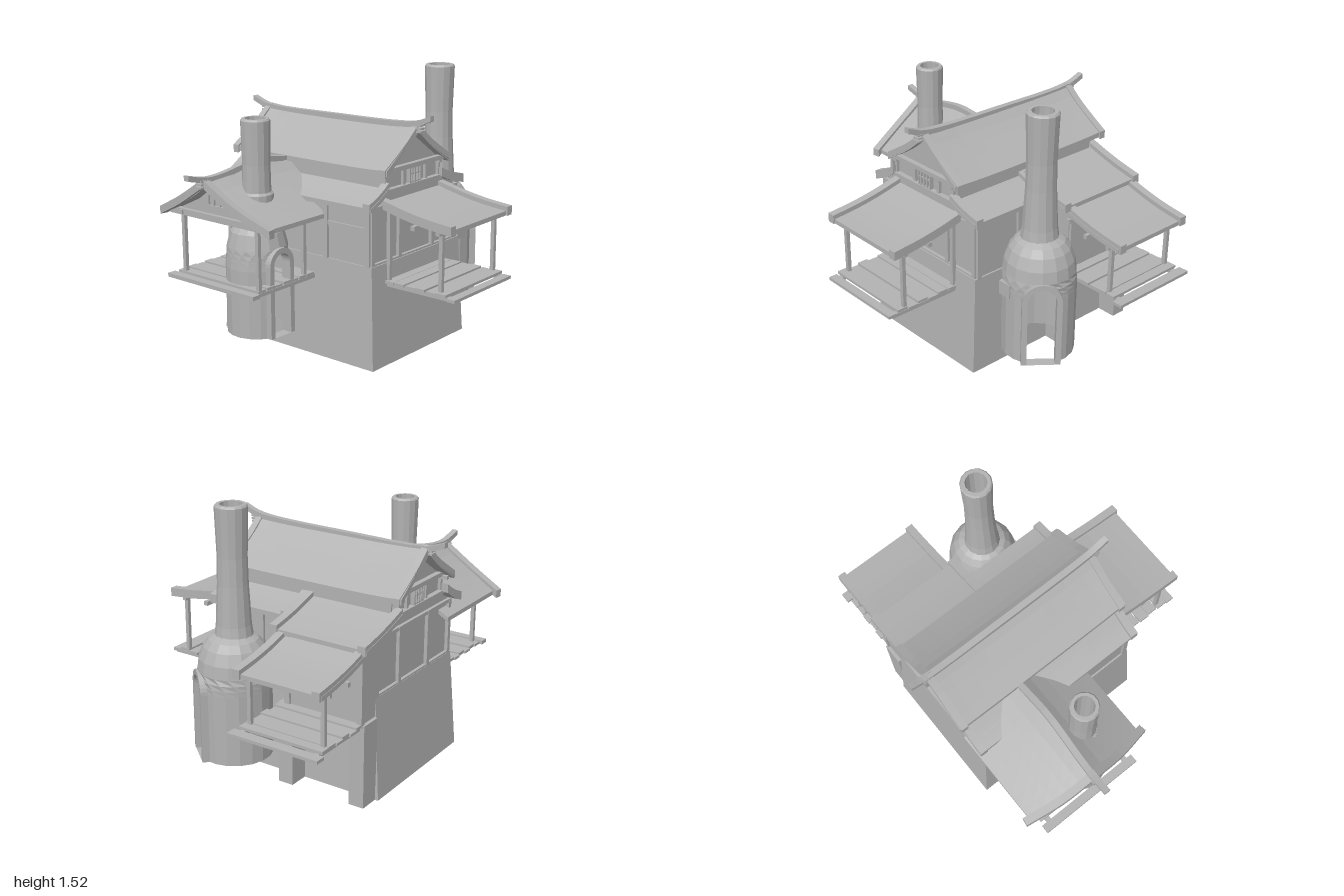
import * as THREE from 'three';

export function createModel() {
  const model = new THREE.Group();
  const grey = new THREE.MeshStandardMaterial({ color: 0xb2b2b2, flatShading: true, side: THREE.DoubleSide });
  grey.name = 'plain grey';

  const add = (name, geo) => {
    const m = new THREE.Mesh(geo, grey);
    m.name = name;
    model.add(m);
    return m;
  };
  // box given by its limits
  const box = (name, x0, x1, y0, y1, z0, z1) =>
    add(name, new THREE.BoxGeometry(x1 - x0, y1 - y0, z1 - z0).translate((x0 + x1) / 2, (y0 + y1) / 2, (z0 + z1) / 2));
  // move every vertex of a geometry by a rule
  const bend = (geo, rule) => {
    const p = geo.attributes.position;
    for (let i = 0; i < p.count; i++) p.setXYZ(i, ...rule(p.getX(i), p.getY(i), p.getZ(i)));
    geo.computeVertexNormals();
    return geo;
  };
  // curved slab: surface(u, v) gives the top, u and v run 0..1
  const slab = (name, surface, nu, nv, thick = 0.025) =>
    add(name, bend(new THREE.BoxGeometry(1, 1, 1, nu, 1, nv), (x, y, z) => {
      const s = surface(x + 0.5, z + 0.5);
      return [s[0], s[1] + (y - 0.5) * thick, s[2]];
    }));
  // timber following a path
  const beam = (name, pts, w, h, n = 8) => {
    const curve = new THREE.CatmullRomCurve3(pts.map((p) => new THREE.Vector3(...p)));
    const d = curve.getPoint(1).sub(curve.getPoint(0));
    const s = new THREE.Vector3(d.z, 0, -d.x).normalize();
    return add(name, bend(new THREE.BoxGeometry(w, h, 1, 1, 1, n), (x, y, z) => {
      const p = curve.getPoint(z + 0.5);
      return [p.x + s.x * x, p.y + y, p.z + s.z * x];
    }));
  };
  const shapeOf = (pts) => new THREE.Shape(pts.map((p) => new THREE.Vector2(...p)));
  const mix = THREE.MathUtils.lerp;

  // hollow stone plinth, tapering upward
  add('plinth', bend(new THREE.CylinderGeometry(Math.SQRT1_2, Math.SQRT1_2, 1, 4, 1, true).rotateY(Math.PI / 4), (x, y, z) => {
    const t = y + 0.5;
    return [x > 0 ? mix(0.395, 0.365, t) : mix(-0.72, -0.68, t), t * 0.57, z > 0 ? mix(0.395, 0.37, t) : mix(-0.45, -0.43, t)];
  }));
  box('plinthTop', -0.68, 0.365, 0.475, 0.57, -0.43, 0.37);

  // house body: lower storey with the raised gabled upper part
  add('houseWalls', new THREE.ExtrudeGeometry(shapeOf([[-0.42, 0.57], [0.36, 0.57], [0.36, 0.89], [0.25, 0.95], [0.25, 1.06],
    [0, 1.24], [-0.26, 1.06], [-0.26, 0.95], [-0.42, 0.89]]), { depth: 1.0, bevelEnabled: false })
    .rotateY(-Math.PI / 2).translate(0.34, 0, 0));

  // timber framing and lattice window on both gable ends
  for (const [x, s] of [[0.34, 1], [-0.66, -1]]) {
    const plate = (name, y0, y1, z0, z1, t = 0.018) => box(name, Math.min(x, x + s * t), Math.max(x, x + s * t), y0, y1, z0, z1);
    plate('gableBeam', 1.055, 1.08, -0.27, 0.26, 0.03);
    plate('gableBeam', 0.95, 0.97, -0.27, 0.26, 0.03);
    for (const z of [-0.25, -0.13, 0.07, 0.23]) plate('gableStud', 0.96, 1.06, z, z + 0.018);
    for (const z of [-0.06, -0.035, -0.01, 0.015, 0.035]) plate('windowBar', 0.97, 1.06, z - 0.004, z + 0.004, 0.025);
    for (const y of [0.97, 1.015, 1.05]) plate('windowBar', y, y + 0.008, -0.06, 0.035, 0.022);
    plate('wallBeam', 0.87, 0.89, -0.42, 0.36);
    plate('sillBeam', 0.56, 0.58, -0.42, 0.36);
    for (const z of [-0.42, -0.2, 0.1, 0.335]) plate('wallPost', 0.57, 0.89, z, z + 0.025, 0.02);
  }
  for (const x of [-0.67, -0.35, 0.03, 0.32]) {
    box('frontPost', x, x + 0.03, 0.57, 0.9, 0.35, 0.375);
    box('backPost', x, x + 0.03, 0.57, 0.9, -0.435, -0.41);
  }
  box('frontWallBeam', -0.67, 0.35, 0.76, 0.78, 0.35, 0.372);

  // upper main roof, gently hollow on each side
  const roofDrop = (t) => 1.275 - 0.205 * Math.pow(Math.abs(t), 0.85);
  slab('mainRoof', (u, v) => {
    const t = v * 2 - 1, e = Math.pow(Math.abs(u * 2 - 1), 4);
    return [mix(-0.73, 0.375, u) + 0.012 * Math.sign(u - 0.5) * Math.abs(t), roofDrop(t) + 0.01 * e, -0.015 + 0.285 * t];
  }, 10, 10, 0.03);
  for (const x of [-0.715, 0.36]) for (const s of [-1, 1]) {
    beam('gableBoard', [0, 0.35, 0.7, 1.03].map((t) => [x, roofDrop(t) - 0.005, -0.015 + s * 0.285 * t]), 0.04, 0.045, 6);
  }
  for (const z of [-0.25, 0.22]) box('eaveBeam', -0.72, 0.37, 1.04, 1.06, z, z + 0.025);
  for (const x of [-0.5, -0.2, 0.07, 0.25]) box('rafterEnd', x, x + 0.03, 1.045, 1.065, -0.28, 0.255);
  beam('mainRidge', [[-0.83, 1.31, -0.01], [-0.72, 1.275, -0.01], [-0.2, 1.27, -0.01], [0.27, 1.28, -0.01], [0.38, 1.295, -0.01], [0.47, 1.328, -0.01]], 0.035, 0.03, 20);
  for (const x of [-0.74, 0.39]) for (const y of [1.245, 1.262, 1.279]) box('ridgeCap', x - 0.02, x + 0.02, y, y + 0.01, -0.03, 0.01);

  // sloping roof running in z or x with bars on both edges
  const skirt = (name, x0, x1, z0, z1, y0, y1, sag = 0.008) => {
    const y = (v) => mix(y0, y1, v) - sag * Math.sin(Math.PI * v);
    slab(name, (u, v) => [mix(x0, x1, u), y(v), mix(z0, z1, v)], 4, 6);
    for (const x of [x0 + 0.025, x1 - 0.025]) {
      beam(name + 'EdgeBar', [0, 0.33, 0.66, 1.03].map((v) => [x, y(v), mix(z0, z1, v)]), 0.045, 0.05);
    }
  };
  skirt('frontSkirtRoof', -0.72, 0.38, 0.24, 0.4, 0.985, 0.9);
  skirt('backSkirtRoof', -0.15, 0.38, -0.24, -0.45, 0.985, 0.915);
  skirt('annexRoof', -0.72, -0.13, -0.24, -0.585, 0.985, 0.89);
  skirt('backPorchRoof', -0.7, -0.17, -0.55, -0.95, 0.865, 0.775, 0.012);

  // rear annex carried on two pillars
  box('annexWalls', -0.68, -0.2, 0.46, 0.89, -0.56, -0.41);
  for (const x of [-0.7, -0.25]) {
    box('annexPillar', x, x + 0.09, 0, 0.47, -0.565, -0.44);
    box('annexPost', x + 0.01, x + 0.045, 0.46, 0.88, -0.575, -0.55);
  }
  box('annexBeam', -0.69, -0.19, 0.77, 0.795, -0.575, -0.55);

  // decks made of loose boards
  const deck = (name, x0, x1, z0, z1, alongZ, n) => {
    for (let i = 0; i < n; i++) {
      const j = 0.004 * Math.sin(i * 2.7), a = (i + 0.04) / n, b = (i + 0.96) / n;
      if (alongZ) box(name, mix(x0, x1, a), mix(x0, x1, b), 0.46 + j, 0.475 + j, z0 + j, z1 + j);
      else box(name, x0 + j, x1 + j, 0.46 + j, 0.475 + j, mix(z0, z1, a), mix(z0, z1, b));
    }
  };
  const post = (x, z, top) => box('porchPost', x - 0.011, x + 0.011, 0.46, top, z - 0.011, z + 0.011);

  // back porch
  deck('backDeckBoard', -0.69, -0.18, -0.93, -0.56, false, 6);
  box('backDeckEdge', -0.71, -0.16, 0.445, 0.462, -1.0, -0.94);
  for (const x of [-0.66, -0.21]) {
    post(x, -0.87, 0.775);
    box('backDeckJoist', x - 0.015, x + 0.015, 0.44, 0.46, -0.97, -0.45);
  }
  for (const z of [-0.88, -0.72]) box('backPorchBeam', -0.7, -0.17, 0.74, 0.765, z, z + 0.02);

  // side porch
  const sideY = (u) => mix(0.9, 0.825, u) - 0.012 * Math.sin(Math.PI * u);
  slab('sidePorchRoof', (u, v) => [mix(0.34, 0.79, u), sideY(u), mix(-0.29, 0.265, v)], 6, 4);
  for (const z of [-0.282, 0.25]) {
    beam('sidePorchEdgeBar', [0, 0.33, 0.66, 1.02].map((u) => [mix(0.34, 0.79, u), sideY(u), z]), 0.045, 0.05);
  }
  deck('sideDeckBoard', 0.36, 0.77, -0.28, 0.26, true, 6);
  box('sideDeckEdge', 0.775, 0.825, 0.445, 0.462, -0.275, 0.265);
  for (const z of [-0.26, 0.23]) {
    post(0.715, z, 0.83);
    post(0.375, z, 0.88);
    box('sideDeckJoist', 0.34, 0.8, 0.44, 0.46, z - 0.015, z + 0.015);
  }
  for (const x of [0.54, 0.7]) box('sidePorchBeam', x, x + 0.025, 0.785, 0.81, -0.29, 0.265);

  // front porch
  deck('frontDeckBoard', -0.64, -0.03, 0.38, 0.82, false, 7);
  box('frontDeckEdge', -0.65, 0, 0.448, 0.47, 0.84, 0.89);
  for (const x of [-0.6, -0.045]) {
    post(x, 0.8, 0.82);
    post(x, 0.45, 0.82);
    box('frontDeckJoist', x - 0.015, x + 0.015, 0.44, 0.46, 0.34, 0.87);
    box('frontPorchSideBeam', x - 0.015, x + 0.015, 0.8, 0.825, 0.36, 0.83);
  }
  box('frontPorchBeam', -0.69, 0.01, 0.795, 0.83, 0.785, 0.82);

  // front gabled roof with hollow slopes and a bowed front edge
  slab('frontRoof', (u, v) => {
    const t = u * 2 - 1, a = Math.abs(t), top = 1.06 - 0.035 * v + 0.015 * Math.sin(Math.PI * v);
    return [-0.34 + 0.38 * t, 0.815 + (top - 0.815) * (1 - Math.pow(a, 0.85)), 0.25 + v * (0.56 + 0.07 * (1 - a * a))];
  }, 10, 8);
  for (const s of [-1, 1]) {
    beam('frontGableBoard', [[-0.34, 1.02, 0.88], [-0.34 + s * 0.2, 0.9, 0.86], [-0.34 + s * 0.41, 0.8, 0.815]], 0.045, 0.045);
  }
  beam('frontRidge', [[-0.34, 1.05, 0.25], [-0.335, 1.08, 0.5], [-0.345, 1.04, 0.75], [-0.35, 1.035, 0.87], [-0.352, 1.065, 1.0]], 0.035, 0.03, 14);
  for (const y of [0.995, 1.012, 1.029]) box('frontRidgeCap', -0.372, -0.328, y, y + 0.01, 0.86, 0.92);
  add('frontGableWall', new THREE.ExtrudeGeometry(shapeOf([[-0.67, 0.81], [-0.01, 0.81], [-0.2, 0.9], [-0.34, 1.0], [-0.48, 0.9]]),
    { depth: 0.02, bevelEnabled: false }).translate(0, 0, 0.775));
  for (const y of [0.87, 0.935]) box('gableWindowFrame', -0.41, -0.27, y, y + 0.01, 0.79, 0.808);
  for (const x of [-0.405, -0.365, -0.32, -0.28]) box('gableWindowBar', x, x + 0.008, 0.87, 0.94, 0.79, 0.806);

  // domed ovens: a lathe whose seam is opened into an arched doorway
  const oven = (name, x, z, dir, profile, y0, w, spring) => {
    const N = 16, pts = [];
    const path = profile.map((p) => new THREE.Vector2(...p));
    path.forEach((p, i) => {
      const q = path[i + 1], k = q ? Math.max(1, Math.round((q.y - p.y) / 0.03)) : 1;
      for (let j = 0; j < k; j++) pts.push(q ? p.clone().lerp(q, j / k) : p);
    });
    const half = (y) => (y < spring ? w : Math.sqrt(Math.max(0, w * w - (y - spring) ** 2)));
    const shell = add(name, bend(new THREE.LatheGeometry(pts, N), (px, py, pz) => {
      const r = Math.hypot(px, pz), f = (Math.atan2(px, pz) + Math.PI * 2) % (Math.PI * 2);
      return [px, py, pz, r, f];
    }));
    const p = shell.geometry.attributes.position, rows = pts.length;
    for (let i = 0; i < p.count; i++) {
      const { x: r, y } = pts[i % rows], g = Math.asin(Math.min(1, half(y) / r));
      const f = g + (Math.PI * 2 - 2 * g) * Math.floor(i / rows) / N;
      p.setXYZ(i, r * Math.sin(f), y, r * Math.cos(f));
    }
    shell.geometry.computeVertexNormals();
    // raised door surround
    const arch = (a) => {
      const s = new THREE.Path();
      s.moveTo(-a, y0).lineTo(a, y0).lineTo(a, spring).absarc(0, spring, a, 0, Math.PI, false).lineTo(-a, y0);
      return s;
    };
    const surround = new THREE.Shape(arch(w + 0.022).getPoints(8));
    surround.holes.push(new THREE.Path(arch(w - 0.008).getPoints(8)));
    const frame = add(name + 'DoorFrame', new THREE.ExtrudeGeometry(surround, { depth: 0.06, bevelEnabled: false })
      .translate(0, 0, profile[0][0] - 0.055));
    for (const m of [shell, frame]) {
      m.position.set(x, 0, z);
      m.rotation.y = dir;
    }
  };
  oven('frontOven', -0.215, 0.63, Math.PI / 2,
    [[0.175, 0.175], [0.175, 0.55], [0.165, 0.66], [0.145, 0.74], [0.105, 0.79], [0.07, 0.8]], 0.175, 0.07, 0.575);
  oven('backOven', 0.083, -0.625, Math.atan2(0.63, -0.78),
    [[0.203, 0.145], [0.203, 0.6], [0.19, 0.7], [0.165, 0.765], [0.135, 0.805], [0.09, 0.83]], 0.145, 0.085, 0.53);
  box('backOvenVent', 0.24, 0.29, 0.51, 0.59, -0.615, -0.535);

  // open chimneys with a wall thickness
  const chimney = (name, x, z, pts) => {
    const m = add(name, new THREE.LatheGeometry(pts.map((p) => new THREE.Vector2(...p)), 14));
    m.position.set(x, 0, z);
  };
  chimney('frontChimney', -0.21, 0.63, [[0.075, 0.79], [0.078, 0.93], [0.075, 1.1], [0.08, 1.335], [0.072, 1.345], [0.055, 1.345], [0.052, 0.8]]);
  chimney('frontChimneyCollar', -0.21, 0.63, [[0.09, 0.9], [0.09, 0.94], [0.075, 0.955]]);
  chimney('backChimney', 0.083, -0.62, [[0.105, 0.81], [0.095, 0.88], [0.083, 1.1], [0.08, 1.25], [0.088, 1.515], [0.08, 1.525], [0.06, 1.525], [0.058, 0.83]]);

  return model;
}
